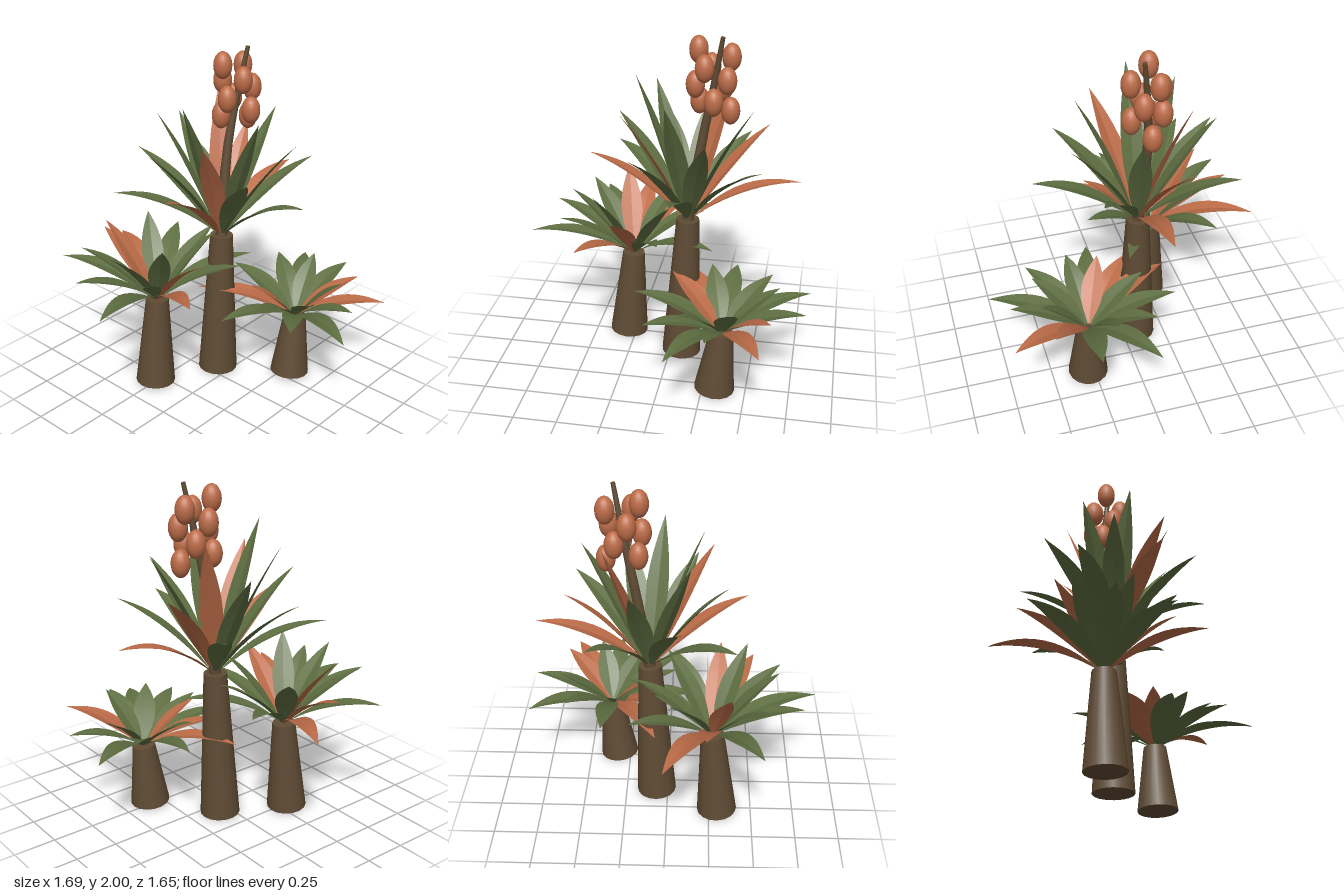
import * as THREE from 'three';

const mat = (name, color, side = THREE.FrontSide) => {
  const m = new THREE.MeshStandardMaterial({ color, side });
  m.name = name;
  return m;
};
const rad = THREE.MathUtils.degToRad;
const lerp = THREE.MathUtils.lerp;
const V = (x, y, z) => new THREE.Vector3(x, y, z);

// Arching lens-shaped leaf with a crease along the midrib
function leafGeometry(azimuth, reach, rise, halfWidth) {
  const out = V(Math.cos(azimuth), 0, Math.sin(azimuth));
  const side = V(-Math.sin(azimuth), 0, Math.cos(azimuth));
  const at = (r, h) => out.clone().multiplyScalar(r).setY(h);
  const spine = new THREE.QuadraticBezierCurve3(
    at(0.015, 0), at(reach * 0.5, rise * 0.5 + 0.34 * reach * reach), at(reach, rise));
  const rows = 12, pos = [], index = [];
  for (let j = 0; j <= rows; j++) {
    const t = j / rows;
    const p = spine.getPoint(t);
    const up = side.clone().cross(spine.getTangent(t));
    const w = halfWidth * Math.max(0, Math.sin(Math.PI * Math.pow(t, 0.92)));
    // the midrib column is doubled so that the fold stays sharp
    for (const c of [-1, 0, 0, 1]) {
      const q = p.clone().addScaledVector(side, c * w).addScaledVector(up, Math.abs(c) * w * 0.2);
      pos.push(q.x, q.y, q.z);
    }
    if (j === rows) continue;
    for (const c of [0, 2]) {
      const a = j * 4 + c;
      index.push(a, a + 1, a + 4, a + 1, a + 5, a + 4);
    }
  }
  const g = new THREE.BufferGeometry();
  g.setAttribute('position', new THREE.Float32BufferAttribute(pos, 3));
  g.setIndex(index);
  g.computeVertexNormals();
  return g;
}

// Tapered stem between two points
function stem(name, from, to, rBottom, rTop, material) {
  const dir = to.clone().sub(from);
  const m = new THREE.Mesh(new THREE.CylinderGeometry(rTop, rBottom, dir.length(), 16), material);
  m.name = name;
  m.position.copy(from).add(to).multiplyScalar(0.5);
  m.quaternion.setFromUnitVectors(V(0, 1, 0), dir.normalize());
  return m;
}

export function createModel() {
  const model = new THREE.Group();
  model.name = 'plantCluster';
  const bark = mat('bark', 0x5f4b34);
  const green = mat('leafGreen', 0x5f6f42, THREE.DoubleSide);
  const rust = mat('leafRust', 0xbc6c48, THREE.DoubleSide);

  // Three plants: trunk ends, first leaf angle, leaf reach and rise from outermost to innermost
  const plants = [
    { name: 'tallPlant', foot: V(0.067, 0.01, -0.08), top: V(0.1, 0.905, -0.08), start: -2, reach: [0.635, 0.3], rise: [0.28, 0.85] },
    { name: 'middlePlant', foot: V(-0.298, 0.01, -0.262), top: V(-0.262, 0.56, -0.263), start: -61.5, reach: [0.63, 0.31], rise: [0.157, 0.46] },
    { name: 'shortPlant', foot: V(0.32, 0.01, 0.286), top: V(0.355, 0.392, 0.286), start: -115, reach: [0.6, 0.29], rise: [0.11, 0.28] },
  ];
  const leafCount = 18;
  for (const p of plants) {
    const plant = new THREE.Group();
    plant.name = p.name;
    plant.add(stem('trunk', p.foot, p.top, 0.117, 0.067, bark));
    const crown = new THREE.Group();
    crown.name = 'leafCrown';
    crown.position.copy(p.top);
    // Golden-angle spiral, every fourth leaf is rust coloured
    for (let i = 0; i < leafCount; i++) {
      const k = i / (leafCount - 1);
      const a = rad(p.start - 137.5 * i);
      const azimuth = a + rad(2 + 6 * Math.sin(a));
      const leaf = new THREE.Mesh(
        leafGeometry(azimuth, lerp(...p.reach, k), lerp(...p.rise, k), 0.064),
        i % 4 === 0 ? rust : green);
      leaf.name = 'leaf';
      crown.add(leaf);
    }
    plant.add(crown);
    model.add(plant);
  }

  // Slightly bent flower stalk in tapering sections
  const stalk = new THREE.Group();
  stalk.name = 'flowerStalk';
  const path = new THREE.CatmullRomCurve3([
    V(0.1, 0.9, -0.08), V(0.175, 1.4, -0.105), V(0.235, 1.72, -0.085), V(0.283, 2, -0.05)]);
  const n = 8, radius = (t) => lerp(0.034, 0.012, t);
  for (let i = 0; i < n; i++) {
    stalk.add(stem('stalkSection', path.getPoint(i / n), path.getPoint((i + 1) / n), radius(i / n), radius((i + 1) / n), bark));
  }
  model.add(stalk);

  // Egg-shaped buds descending around the stalk
  const budGeometry = new THREE.SphereGeometry(0.053, 18, 12).scale(1, 1.47, 1);
  const spots = [
    [0.146, -0.113], [0.325, -0.12], [0.193, -0.005], [0.21, -0.17], [0.313, -0.04],
    [0.135, -0.07], [0.28, -0.153], [0.246, 0.008], [0.152, -0.13], [0.33, -0.083]];
  const buds = new THREE.Group();
  buds.name = 'buds';
  spots.forEach(([x, z], i) => {
    const bud = new THREE.Mesh(budGeometry, rust);
    bud.name = 'bud';
    bud.position.set(x, 1.91 - 0.0365 * i, z);
    buds.add(bud);
  });
  model.add(buds);
  return model;
}
